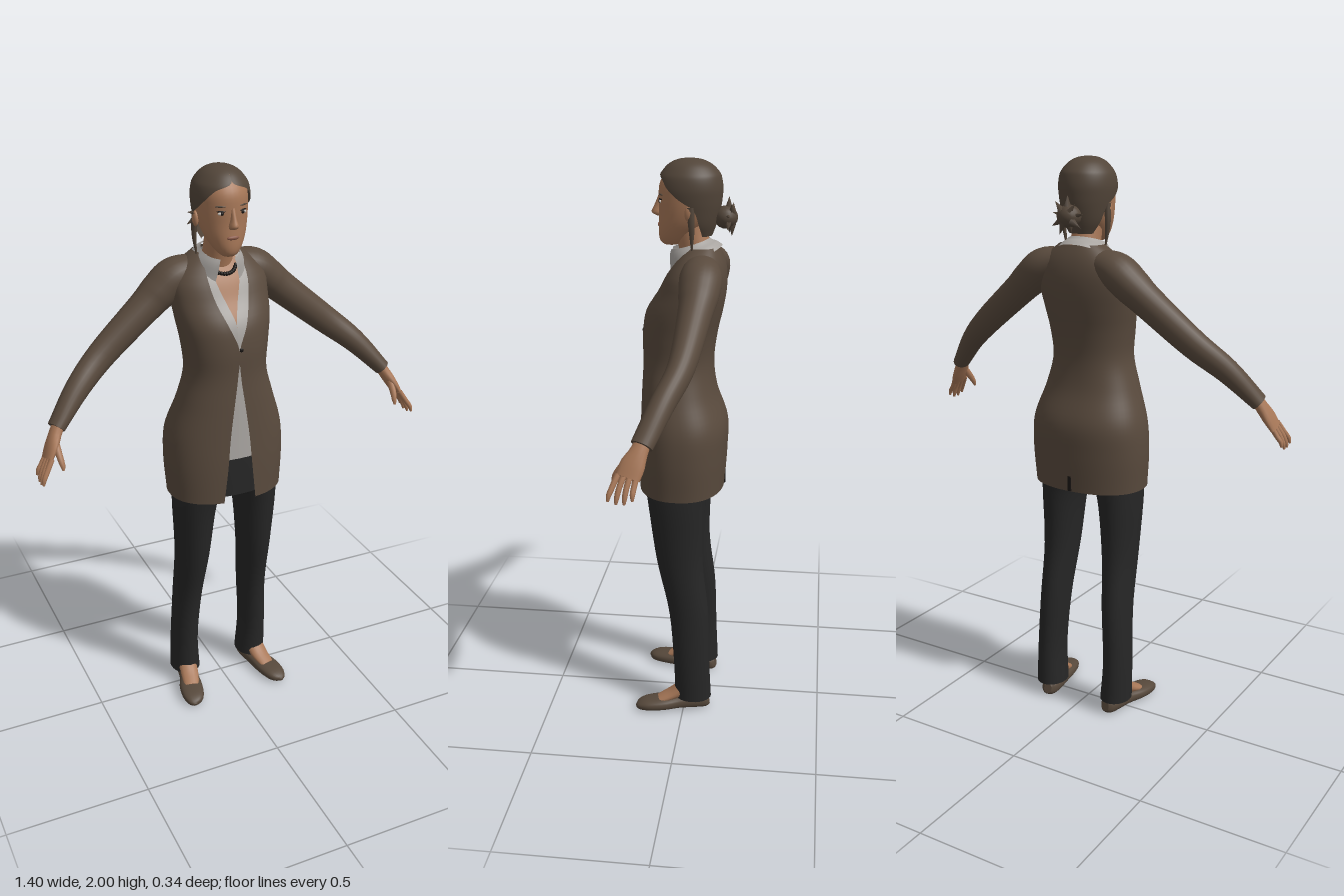
import * as THREE from 'three';

const mat = (name, color, side = THREE.FrontSide) => {
  const m = new THREE.MeshStandardMaterial({ color, side });
  m.name = name;
  return m;
};
const M = {
  coat: mat('brown coat', 0x594a3d, THREE.DoubleSide),
  hair: mat('brown hair', 0x524539, THREE.DoubleSide),
  trousers: mat('black trousers', 0x262626, THREE.DoubleSide),
  shirt: mat('grey shirt', 0xa8a4a0, THREE.DoubleSide),
  skin: mat('skin', 0xa87858),
  shoe: mat('brown shoe', 0x56483b),
  lips: mat('lips', 0x8c5a48),
  dark: mat('near black', 0x1a1614),
  eye: mat('eye white', 0xc8c0b8),
};

// Smooth sampling of a table of rows, whose key is the row number or a column.
function sampler(rows, key) {
  const f = new THREE.CubicInterpolant(rows.map(key), rows.flat(), rows[0].length);
  return t => Array.from(f.evaluate(t));
}

// Skin a surface over elliptical rings [x, y, z, halfWidth, halfDepth, frontGapAngle].
// Rings stand across the path, or stay level when flat is set.
function sweep(rows, { n = 24, steps = 0, flat = false, power = 1, ref = [0, 0, 1], caps = true } = {}) {
  if (steps) {
    const at = sampler(rows, (r, i) => i), last = rows.length - 1;
    rows = Array.from({ length: steps + 1 }, (_, i) => at(i / steps * last));
  }
  const pos = [], idx = [], R = new THREE.Vector3(...ref);
  const C = rows.map(r => new THREE.Vector3(r[0], r[1], r[2]));
  const open = rows[0].length > 5;
  const bend = v => Math.sign(v) * Math.abs(v) ** power;
  rows.forEach((r, i) => {
    const d = C[Math.min(i + 1, C.length - 1)].clone().sub(C[Math.max(i - 1, 0)]).normalize();
    if (flat) d.set(0, 1, 0);
    const u = d.clone().cross(R).normalize(), v = u.clone().cross(d);
    const gap = open ? Math.max(0, r[5]) : 0;
    const count = open ? n + 1 : n;
    for (let j = 0; j < count; j++) {
      const t = gap + (2 * Math.PI - 2 * gap) * j / n;
      const p = C[i].clone().addScaledVector(u, r[3] * bend(Math.sin(t))).addScaledVector(v, r[4] * bend(Math.cos(t)));
      pos.push(p.x, p.y, p.z);
    }
  });
  const w = open ? n + 1 : n;
  for (let i = 0; i < rows.length - 1; i++) for (let j = 0; j < n; j++) {
    const k = (j + 1) % w, a = i * w + j, b = i * w + k;
    idx.push(a, b, b + w, a, b + w, a + w);
  }
  if (caps && !open) [0, rows.length - 1].forEach(i => {
    const base = pos.length / 3;
    pos.push(...pos.slice(i * n * 3, (i + 1) * n * 3), ...C[i].toArray());
    for (let j = 0; j < n; j++) {
      const a = base + j, b = base + (j + 1) % n;
      i ? idx.push(a, b, base + n) : idx.push(b, a, base + n);
    }
  });
  const g = new THREE.BufferGeometry();
  g.setAttribute('position', new THREE.Float32BufferAttribute(pos, 3));
  g.setIndex(idx);
  g.computeVertexNormals();
  return g;
}

// Torso: [y, z, halfWidth, halfDepth, coat opening, shirt opening]
const POWER = 0.88;
const TORSO = [
  [0.86, 0.02, 0.208, 0.15, 0.06, 0], [1.0, 0.015, 0.216, 0.154, 0.045, 0],
  [1.1, 0.013, 0.209, 0.152, 0.036, 0], [1.22, 0.03, 0.17, 0.13, 0.02, 0],
  [1.32, 0.033, 0.143, 0.122, 0.006, 0], [1.42, 0.027, 0.15, 0.128, 0.001, 0],
  [1.5, 0.011, 0.163, 0.13, 0.032, 0], [1.57, -0.015, 0.17, 0.115, 0.058, 0.022],
  [1.63, -0.03, 0.166, 0.1, 0.07, 0.042], [1.68, -0.042, 0.128, 0.077, 0.07, 0.048],
  [1.715, -0.045, 0.08, 0.057, 0.065, 0.05],
];
function torso(y0, y1, inset, gapColumn, steps = 40) {
  const at = sampler(TORSO, r => r[0]);
  const rows = Array.from({ length: steps + 1 }, (_, i) => {
    const [y, z, a, b, ...gaps] = at(y0 + (y1 - y0) * i / steps);
    const row = [0, y, z, a - inset, b - inset];
    if (gapColumn !== undefined) {
      const g = THREE.MathUtils.clamp(gaps[gapColumn] / row[3], 0, 1);
      row.push(Math.asin(g ** (1 / POWER)));
    }
    return row;
  });
  return sweep(rows, { n: 56, flat: true, power: POWER });
}

export function createModel() {
  const model = new THREE.Group();
  const add = (name, geo, material, parent = model) => {
    const m = new THREE.Mesh(geo, material);
    m.name = name;
    parent.add(m);
    return m;
  };
  const blob = (name, material, p, s) => {
    const m = add(name, new THREE.SphereGeometry(1, 16, 10), material);
    m.position.set(...p);
    m.scale.set(...s);
    return m;
  };

  // Clothed torso
  add('coat', torso(0.86, 1.715, 0, 0), M.coat);
  add('shirt', torso(1.02, 1.71, 0.011, 1), M.shirt);
  add('chest', torso(1.46, 1.7, 0.02), M.skin);
  add('trouserHips', torso(0.875, 1.06, 0.018), M.trousers);
  add('coatVent', new THREE.BoxGeometry(0.014, 0.06, 0.006), M.dark).position.set(0, 0.892, -0.131);
  blob('coatButton', M.dark, [0.006, 1.42, 0.156], [0.007, 0.007, 0.003]);
  add('collar', sweep([[0, 1.673, -0.025, 0.098, 0.1, 0.45], [0, 1.7, -0.012, 0.082, 0.084, 0.42],
    [0, 1.722, -0.005, 0.064, 0.068, 0.4]], { n: 32, steps: 6 }), M.shirt);
  add('neck', sweep([[0, 1.6, -0.045, 0.062, 0.06], [0, 1.68, -0.03, 0.053, 0.055],
    [0, 1.75, -0.012, 0.05, 0.053], [0, 1.8, 0, 0.052, 0.055]], { steps: 10 }), M.skin);
  for (let i = -6; i <= 6; i++) {
    const t = i * 0.17;
    blob('necklaceBead', M.dark, [0.053 * Math.sin(t), 1.685 - 0.033 * Math.cos(t), -0.018 + 0.068 * Math.cos(t)], [0.007, 0.007, 0.007]);
  }

  // Head and face
  add('head', sweep([[0, 1.718, 0.058, 0.02, 0.022], [0, 1.728, 0.053, 0.033, 0.04], [0, 1.75, 0.042, 0.05, 0.057],
    [0, 1.785, 0.024, 0.068, 0.075], [0, 1.825, 0.009, 0.079, 0.089], [0, 1.87, 0, 0.084, 0.099],
    [0, 1.92, -0.002, 0.083, 0.097], [0, 1.96, -0.01, 0.068, 0.08], [0, 1.985, -0.008, 0.03, 0.04]],
  { n: 32, steps: 32, flat: true, power: 0.95 }), M.skin);
  add('nose', sweep([[0, 1.812, 0.094, 0.012, 0.012], [0, 1.823, 0.1, 0.016, 0.024],
    [0, 1.845, 0.098, 0.01, 0.017], [0, 1.88, 0.093, 0.007, 0.007]], { n: 12, steps: 10, flat: true }), M.skin);
  blob('lips', M.lips, [0, 1.784, 0.097], [0.022, 0.007, 0.006]);

  // Hair: cap with an open face, then a knot with loose ends
  add('hairCap', sweep([[0, 1.75, -0.03, 0.052, 0.05, 2], [0, 1.79, -0.017, 0.075, 0.078, 1.9],
    [0, 1.84, -0.008, 0.088, 0.1, 1.75], [0, 1.875, -0.005, 0.094, 0.108, 1.3], [0, 1.905, -0.005, 0.096, 0.11, 0.95],
    [0, 1.935, -0.006, 0.092, 0.105, 0.6], [0, 1.955, -0.007, 0.083, 0.096, 0.05], [0, 1.98, -0.006, 0.061, 0.072, 0],
    [0, 1.995, -0.005, 0.033, 0.04, 0], [0, 2, -0.005, 0.001, 0.001, 0]], { n: 48, steps: 40, flat: true }), M.hair);
  blob('hairKnot', M.hair, [0, 1.81, -0.125], [0.042, 0.038, 0.04]);
  for (let i = 0; i < 9; i++) {
    const t = i * 2 * Math.PI / 9 + 0.2, r = 0.036 + 0.006 * (i % 3);
    const end = add('knotEnd', new THREE.ConeGeometry(0.014, 0.042, 5), M.hair);
    end.position.set(r * Math.cos(t), 1.81 + r * Math.sin(t), -0.135 - 0.012 * (i % 2));
    end.rotation.z = t - Math.PI / 2;
  }

  // Paired parts; the model's left is +x
  for (const s of [1, -1]) {
    const side = new THREE.Group();
    side.name = s > 0 ? 'leftSide' : 'rightSide';
    model.add(side);
    const limb = (name, rows, material, options) =>
      add(name, sweep(rows.map(([x, ...rest]) => [x * s, ...rest]), options), material, side);

    limb('sleeve', [[0.06, 1.665, -0.05, 0.038, 0.05], [0.14, 1.635, -0.057, 0.062, 0.07], [0.2, 1.588, -0.056, 0.062, 0.066],
      [0.257, 1.54, -0.05, 0.056, 0.056], [0.415, 1.412, -0.027, 0.049, 0.044],
      [0.52, 1.325, 0.018, 0.041, 0.04], [0.615, 1.222, 0.068, 0.028, 0.036]], M.coat, { steps: 30 });
    limb('palm', [[0.6, 1.24, 0.062, 0.02, 0.026], [0.622, 1.205, 0.076, 0.02, 0.029], [0.642, 1.17, 0.092, 0.018, 0.039],
      [0.661, 1.135, 0.104, 0.013, 0.038]], M.skin, { n: 16, steps: 8 });
    for (let i = 0; i < 4; i++) {
      const z = 0.078 + i * 0.019, drop = [0.012, 0, 0, 0.008][i];
      limb('finger', [[0.655, 1.145, z, 0.01, 0.01], [0.678, 1.108, z + 0.006 + i * 0.003, 0.009, 0.009],
        [0.69, 1.08 + drop, z + 0.008 + i * 0.005, 0.008, 0.008], [0.694, 1.062 + drop, z + 0.008 + i * 0.006, 0.004, 0.004]],
      M.skin, { n: 8, steps: 6 });
    }
    limb('thumb', [[0.63, 1.185, 0.1, 0.013, 0.015], [0.628, 1.15, 0.133, 0.011, 0.012],
      [0.625, 1.125, 0.15, 0.009, 0.009], [0.624, 1.108, 0.157, 0.004, 0.004]], M.skin, { n: 8, steps: 6 });

    limb('trouserLeg', [[0.14, 0.05, -0.035, 0.056, 0.067], [0.143, 0.2, -0.029, 0.05, 0.066], [0.133, 0.4, -0.017, 0.052, 0.072],
      [0.124, 0.6, 0.016, 0.061, 0.083], [0.118, 0.8, 0.027, 0.076, 0.1], [0.103, 0.9, 0.028, 0.09, 0.113],
      [0.095, 1.0, 0.028, 0.092, 0.118]], M.trousers, { n: 28, steps: 28, flat: true });
    limb('instep', [[0.142, 0.1, -0.03, 0.035, 0.035], [0.15, 0.06, 0.035, 0.034, 0.02],
      [0.163, 0.036, 0.09, 0.028, 0.012]], M.skin, { n: 16, steps: 8, ref: [0, 1, 0] });
    limb('shoe', [[0.128, 0.03, -0.093, 0.015, 0.018], [0.13, 0.028, -0.08, 0.028, 0.027], [0.135, 0.028, -0.04, 0.035, 0.028],
      [0.146, 0.025, 0.02, 0.036, 0.025], [0.162, 0.023, 0.08, 0.044, 0.023], [0.174, 0.02, 0.135, 0.039, 0.02],
      [0.182, 0.015, 0.163, 0.024, 0.014], [0.184, 0.012, 0.175, 0.006, 0.005]],
    M.shoe, { steps: 24, ref: [0, 1, 0], power: 0.8 });

    limb('hairLock', [[0.082, 1.85, -0.015, 0.012, 0.014], [0.086, 1.78, -0.02, 0.009, 0.01],
      [0.078, 1.705, -0.02, 0.002, 0.002]], M.hair, { n: 8, steps: 8 });
    blob('ear', M.skin, [s * 0.085, 1.83, -0.012], [0.01, 0.026, 0.016]);
    blob('eye', M.eye, [s * 0.036, 1.864, 0.0885], [0.014, 0.006, 0.005]);
    blob('iris', M.dark, [s * 0.036, 1.864, 0.0905], [0.0065, 0.0062, 0.005]);
    const lid = blob('eyelid', M.dark, [s * 0.037, 1.8705, 0.0885], [0.016, 0.0025, 0.005]);
    lid.rotation.y = s * 0.3;
    const brow = blob('eyebrow', M.hair, [s * 0.038, 1.886, 0.087], [0.02, 0.003, 0.005]);
    brow.rotation.y = s * 0.35;
  }
  return model;
}
